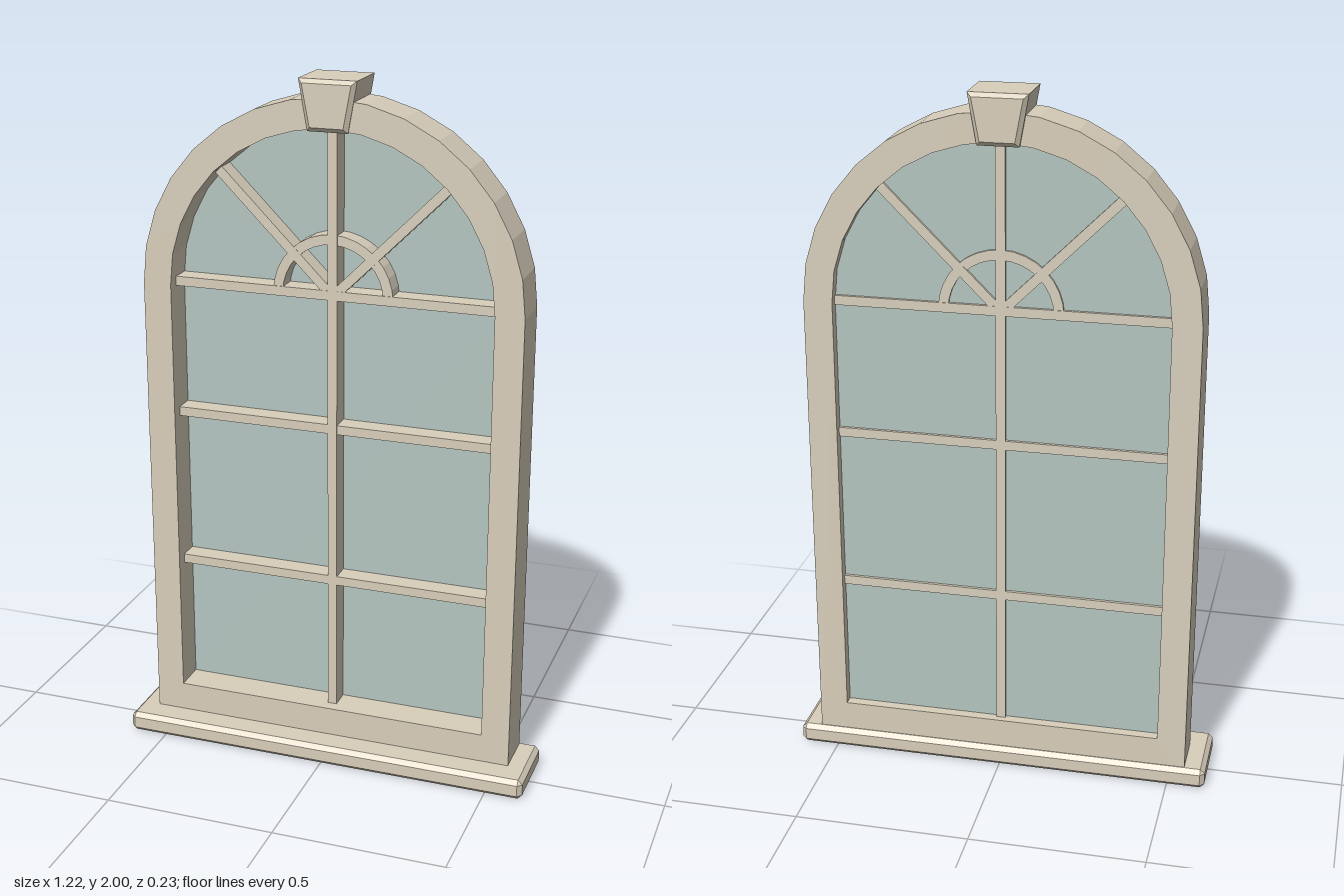
import * as THREE from 'three';
import { ConvexGeometry } from 'three/addons/geometries/ConvexGeometry.js';

const SPRING = 1.4; // height where the arch begins

// Round-headed outline, used for the frame, its opening and the glass
function archPath(Type, r, bottom) {
  const p = new Type();
  p.moveTo(-r, bottom);
  p.lineTo(r, bottom);
  p.lineTo(r, SPRING);
  p.absarc(0, SPRING, r, 0, Math.PI, false);
  p.closePath();
  return p;
}

function extrude(shape, z0, z1) {
  const g = new THREE.ExtrudeGeometry(shape, { depth: z1 - z0, bevelEnabled: false, curveSegments: 8 });
  return g.translate(0, 0, z0);
}

// Box with all edges cut at 45 degrees
function chamferBox(w, h, d, c) {
  const pts = [];
  for (const x of [-1, 1]) for (const y of [-1, 1]) for (const z of [-1, 1]) {
    for (let k = 0; k < 3; k++) {
      pts.push(new THREE.Vector3(
        x * (w / 2 - (k === 0 ? 0 : c)),
        y * (h / 2 - (k === 1 ? 0 : c)),
        z * (d / 2 - (k === 2 ? 0 : c))));
    }
  }
  return new ConvexGeometry(pts);
}

export function createModel() {
  const group = new THREE.Group();
  group.name = 'archedWindow';
  const stone = new THREE.MeshStandardMaterial({ color: 0xd8cebb });
  stone.name = 'stone';
  const glass = new THREE.MeshStandardMaterial({ color: 0xb4c5c0 });
  glass.name = 'glass';

  const add = (name, geometry, material = stone) => {
    const m = new THREE.Mesh(geometry, material);
    m.name = name;
    group.add(m);
    return m;
  };

  // Surround with arched opening
  const outline = archPath(THREE.Shape, 0.55, 0.05);
  outline.holes.push(archPath(THREE.Path, 0.468, 0.145));
  add('frame', extrude(outline, -0.1, 0.035));

  // Pane
  add('pane', extrude(archPath(THREE.Shape, 0.475, 0.135), -0.07, -0.06), glass);

  // Glazing bars
  const barBack = -0.08, barFront = 0, bar = 0.027;
  const depth = barFront - barBack, mid = (barFront + barBack) / 2;
  add('verticalBar', new THREE.BoxGeometry(bar, 1.75, depth)).position.set(0, 1.01, mid);
  for (const y of [0.547, 1.013, 1.403]) {
    add('horizontalBar', new THREE.BoxGeometry(0.95, bar, depth - 0.002)).position.set(0, y, mid);
  }

  // Fan: two diagonal spokes and a half ring
  for (const s of [-1, 1]) {
    const spoke = add('fanSpoke', new THREE.BoxGeometry(0.475, bar, depth - 0.004));
    const a = Math.PI / 4;
    spoke.position.set(s * 0.2375 * Math.cos(a), SPRING + 0.2375 * Math.sin(a), mid);
    spoke.rotation.z = s * a;
  }
  const ring = new THREE.Shape();
  ring.absarc(0, SPRING, 0.174, 0, Math.PI, false);
  ring.absarc(0, SPRING, 0.146, Math.PI, 0, true);
  ring.closePath();
  add('fanRing', extrude(ring, barBack + 0.003, barFront - 0.003));

  // Sill
  add('sill', chamferBox(1.22, 0.06, 0.23, 0.013)).position.y = 0.03;

  // Tapered keystone with bevelled front and back edges
  const b = 0.012;
  const key = new THREE.Shape([[-0.047, 1.872], [0.047, 1.872], [0.069, 1.988], [-0.069, 1.988]]
    .map(([x, y]) => new THREE.Vector2(x, y)));
  const keyGeometry = new THREE.ExtrudeGeometry(key, {
    depth: 0.144, bevelEnabled: true, bevelThickness: b, bevelSize: b, bevelSegments: 1,
  });
  add('keystone', keyGeometry.translate(0, 0, -0.107));

  return group;
}
